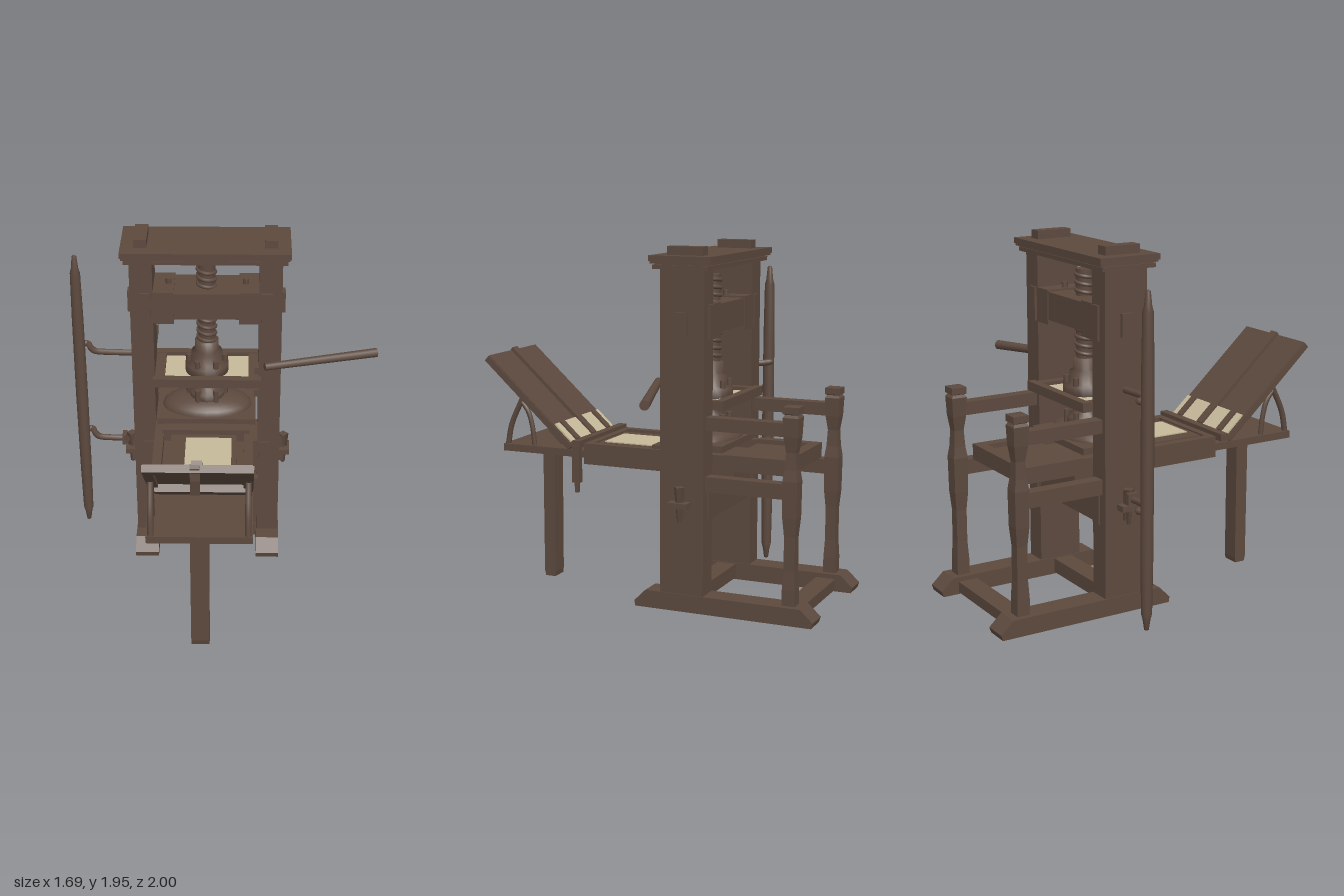
import * as THREE from 'three';

const wood = new THREE.MeshStandardMaterial({ color: 0x5c493e });
wood.name = 'dark wood';
const paper = new THREE.MeshStandardMaterial({ color: 0xc6b999 });
paper.name = 'cream paper';

const CX = -0.097, CZ = -0.265; // screw axis

export function createModel() {
  const root = new THREE.Group();
  root.name = 'handPress';

  const add = (name, geo, mat = wood, parent = root) => {
    const m = new THREE.Mesh(geo, mat);
    m.name = name;
    parent.add(m);
    return m;
  };
  // box from its limits on each axis
  const box = (name, x0, x1, y0, y1, z0, z1, mat = wood, parent = root) => {
    const m = add(name, new THREE.BoxGeometry(x1 - x0, y1 - y0, z1 - z0), mat, parent);
    m.position.set((x0 + x1) / 2, (y0 + y1) / 2, (z0 + z1) / 2);
    return m;
  };
  // turned piece around a vertical axis
  const lathe = (name, pts, x, z, seg = 20) => {
    const m = add(name, new THREE.LatheGeometry(pts.map(p => new THREE.Vector2(p[0], p[1])), seg));
    m.position.set(x, 0, z);
    return m;
  };
  const tube = (name, pts, r, seg = 24, parent = root) => {
    const curve = new THREE.CatmullRomCurve3(pts.map(p => new THREE.Vector3(...p)));
    return add(name, new THREE.TubeGeometry(curve, seg, r, 8), wood, parent);
  };
  // round bar between two points
  const bar = (name, a, b, r0, r1) => {
    const A = new THREE.Vector3(...a), B = new THREE.Vector3(...b);
    const m = add(name, new THREE.CylinderGeometry(r1, r0, A.distanceTo(B), 12));
    m.position.copy(A).add(B).multiplyScalar(0.5);
    m.quaternion.setFromUnitVectors(new THREE.Vector3(0, 1, 0), B.sub(A).normalize());
    return m;
  };
  // outline in (z, y) extruded across x
  const slab = (name, pts, x0, x1) => {
    const s = new THREE.Shape(pts.map(p => new THREE.Vector2(-p[0], p[1])));
    const g = new THREE.ExtrudeGeometry(s, { depth: x1 - x0, bevelEnabled: false });
    g.rotateY(Math.PI / 2);
    g.translate(x0, 0, 0);
    return add(name, g);
  };

  // Two side frames: foot, main post, rear baluster and rails
  for (const side of [-1, 1]) {
    const x = side < 0 ? -0.442 : 0.248;
    slab('foot', [[0, 0.02], [0.005, 0.05], [-0.06, 0.115], [-0.93, 0.115], [-1, 0.05], [-0.99, 0.02]], x - 0.066, x + 0.066);
    box('mainPost', x - 0.061, x + 0.061, 0.1, 1.85, -0.39, -0.145);
    box('postTenon', x - 0.035, x + 0.035, 1.88, 1.945, -0.37, -0.17);
    box('upperRail', x - 0.035, x + 0.035, 1.0, 1.07, -0.82, -0.38);
    box('lowerRail', x - 0.035, x + 0.035, 0.675, 0.755, -0.82, -0.38);
    // square-sectioned rear post with a waisted profile
    const post = lathe('rearPost', [[0, 0.1], [0.05, 0.1], [0.05, 0.2], [0.042, 0.3], [0.042, 0.48],
      [0.054, 0.58], [0.057, 0.77], [0.045, 0.83], [0.038, 0.92], [0.054, 1.0], [0.06, 1.1],
      [0.047, 1.115], [0.06, 1.12], [0.06, 1.155], [0, 1.16]], x, -0.855, 4);
    const flat = post.geometry.toNonIndexed();
    flat.rotateY(Math.PI / 4);
    flat.computeVertexNormals();
    post.geometry = flat;
    // ends of the beams through the post, with wedge
    const o = x + side * 0.061;
    const out = (name, d, y0, y1, z0, z1) =>
      box(name, Math.min(o, o + side * d), Math.max(o, o + side * d), y0, y1, z0, z1);
    out('headTenon', 0.02, 1.49, 1.61, -0.3, -0.235);
    out('winterTenon', 0.025, 0.53, 0.69, -0.285, -0.245);
    out('wedgePin', 0.06, 0.59, 0.62, -0.32, -0.21);
    const wedge = add('wedge', new THREE.CylinderGeometry(0.03, 0.012, 0.19, 4));
    wedge.position.set(o + side * 0.025, 0.605, CZ);
    // cheek blocks before and behind the post
    for (const z of [-0.14, -0.395]) {
      box('headCheek', x - 0.03 - side * 0.02, x + 0.03 - side * 0.02, 1.47, 1.65, z - 0.008, z + 0.008);
      box('winterCheek', x - 0.03 - side * 0.02, x + 0.03 - side * 0.02, 0.51, 0.72, z - 0.006, z + 0.006);
    }
  }

  // Base stretchers
  box('frontStretcher', -0.39, 0.2, 0.03, 0.11, -0.31, -0.2);
  box('rearStretcher', -0.39, 0.2, 0.03, 0.09, -0.9, -0.79);

  // Moulded cap
  box('capLower', -0.53, 0.335, 1.83, 1.852, -0.42, -0.11);
  box('capMiddle', -0.54, 0.345, 1.858, 1.875, -0.435, -0.1);
  box('capCore', -0.52, 0.325, 1.85, 1.86, -0.41, -0.12);
  box('capTop', -0.548, 0.352, 1.87, 1.9, -0.44, -0.095);

  // Cross beams
  box('headBeam', -0.385, 0.19, 1.49, 1.64, -0.385, -0.15);
  for (const [a, b] of [[-0.385, -0.27], [0.08, 0.19]]) box('headBeamEnd', a, b, 1.465, 1.65, -0.39, -0.145);
  for (const x of [-0.3, 0.115]) bar('headBolt', [x, 1.45, CZ], [x, 1.68, CZ], 0.016, 0.016);
  box('winterBeam', -0.385, 0.19, 0.51, 0.72, -0.385, -0.15);

  // Screw with helical thread
  bar('screwCore', [CX, 1.25, CZ], [CX, 1.78, CZ], 0.048, 0.048);
  const helix = [];
  for (let i = 0; i <= 120; i++) {
    const a = i / 10 * Math.PI * 2;
    helix.push([CX + Math.cos(a) * 0.047, 1.27 + i / 120 * 0.49, CZ + Math.sin(a) * 0.047]);
  }
  tube('screwThread', helix, 0.011, 300);

  // Collar, spindle and platen
  lathe('spindle', [[0, 0.94], [0.1, 0.94], [0.1, 1.0], [0.06, 1.02], [0.05, 1.08], [0.12, 1.1], [0.12, 1.17],
    [0.085, 1.18], [0.085, 1.24], [0.065, 1.25], [0.065, 1.31], [0, 1.31]], CX, CZ);
  for (let i = 0; i < 6; i++) {
    const a = i / 6 * Math.PI * 2, x = CX + Math.cos(a) * 0.1, z = CZ + Math.sin(a) * 0.1;
    bar('collarStud', [x, 1.1, z], [x, 1.215, z], 0.015, 0.015);
    bar('platenStud', [x, 0.94, z], [x, 1.03, z], 0.015, 0.015);
  }
  box('platen', -0.37, 0.175, 0.865, 0.9, -0.44, -0.09);
  const dome = add('platenDome', new THREE.SphereGeometry(1, 24, 8, 0, Math.PI * 2, 0, Math.PI / 2));
  dome.scale.set(0.25, 0.085, 0.165);
  dome.position.set(CX, 0.895, CZ);

  // Guide frame around the spindle, with paper inset
  for (const z of [-0.43, -0.12]) box('guideFrameLong', -0.39, 0.2, 1.095, 1.145, z - 0.022, z + 0.022);
  for (const x of [-0.355, 0.16]) box('guideFrameShort', x - 0.028, x + 0.028, 1.095, 1.14, -0.43, -0.12);
  box('guideBoard', -0.35, 0.15, 1.1, 1.115, -0.42, -0.13);
  box('guidePaper', -0.33, 0.135, 1.115, 1.121, -0.41, -0.14, paper);
  for (const y of [1.05, 1.19]) box('guidePeg', 0.165, 0.19, y - 0.02, y + 0.02, -0.17, -0.12);

  // Pull bar
  bar('pullBar', [0.22, 1.232, -0.095], [0.84, 1.212, -0.3], 0.021, 0.026);

  // Long side pole on two bent brackets
  lathe('sidePole', [[0, 0.04], [0.012, 0.045], [0.02, 0.1], [0.028, 0.13], [0.032, 0.4], [0.034, 0.9], [0.032, 1.4],
    [0.028, 1.67], [0.02, 1.7], [0.013, 1.77], [0, 1.78]], -0.81, -0.335, 12);
  for (const [y, end] of [[1.22, -0.49], [0.66, -0.57]]) {
    tube('poleBracket', [[-0.81, y + 0.005, -0.335], [-0.765, y + 0.005, -0.36], [-0.745, y, -0.32], [-0.715, y, -0.28],
      [-0.65, y, -0.27], [end, y - 0.003, -0.27]], 0.018);
    box('bracketPlate', end - 0.012, end + 0.012, y - 0.03, y + 0.03, -0.3, -0.24);
  }
  box('lowerBracketArm', -0.57, -0.5, 0.645, 0.675, -0.285, -0.255);

  // Bed: long rails, plank and coffin with the sheet
  for (const x of [-0.355, 0.135]) {
    box('bedRail', x - 0.025, x + 0.025, 0.735, 0.85, -0.5, 0.38);
    box('rearTrayRail', x - 0.03, x + 0.03, 0.77, 0.855, -0.8, -0.45);
  }
  box('bedPlank', -0.37, 0.15, 0.74, 0.8, -0.5, 0.38);
  box('coffin', -0.29, 0.07, 0.79, 0.842, -0.08, 0.38);
  box('sheet', -0.207, 0.043, 0.842, 0.848, 0.02, 0.31, paper);
  box('coffinBar', -0.34, 0.14, 0.8, 0.87, -0.1, -0.02);
  box('rearTrayFloor', -0.36, 0.14, 0.77, 0.83, -0.79, -0.45);
  box('rearTrayEnd', -0.385, 0.165, 0.77, 0.855, -0.805, -0.745);
  box('bedNose', -0.38, 0.16, 0.74, 0.85, 0.34, 0.38);
  box('hingeBar', -0.41, 0.185, 0.825, 0.865, 0.395, 0.44);
  box('hingeBarDrop', 0.15, 0.185, 0.63, 0.86, 0.397, 0.443);
  box('dropTip', 0.158, 0.178, 0.575, 0.63, 0.408, 0.43);

  // Front shelf, its leg and the struts
  box('frontShelf', -0.38, 0.16, 0.77, 0.81, 0.38, 0.885);
  slab('frontLeg', [[0.75, 0], [0.757, 0.03], [0.757, 0.775], [0.683, 0.775], [0.686, 0.03], [0.69, 0]], -0.163, -0.065);
  for (const x of [-0.355, 0.135]) {
    tube('outerStrut', [[x, 0.8, 0.87], [x, 0.92, 0.845], [x, 1.07, 0.775]], 0.016);
    tube('innerStrut', [[x, 1.06, 0.785], [x, 1.0, 0.74], [x, 0.92, 0.715], [x, 0.8, 0.7]], 0.014);
  }

  // Tilted lid, hinged at the bar; local z runs up the slope
  const lid = new THREE.Group();
  lid.name = 'tiltedLid';
  lid.position.set(-0.11, 0.825, 0.46);
  lid.rotation.x = -Math.atan2(0.47, 0.52);
  root.add(lid);
  box('lidBoard', -0.265, 0.265, -0.004, 0.012, 0, 0.7, wood, lid);
  for (const x of [-0.245, 0.245]) box('lidSide', x - 0.025, x + 0.025, -0.028, 0.008, 0, 0.7, wood, lid);
  for (const z of [0.05, 0.66]) box('lidEnd', -0.265, 0.265, -0.028, 0.008, z - 0.04, z + 0.04, wood, lid);
  box('lidPaper', -0.262, 0.262, 0.013, 0.022, 0.02, 0.155, paper, lid);
  box('lidBatten', -0.033, 0.02, 0.01, 0.032, 0.02, 0.705, wood, lid);
  for (const x of [-0.19, 0.19]) box('lidCatch', x - 0.022, x + 0.022, 0.01, 0.032, 0.02, 0.155, wood, lid);
  box('lidFoot', -0.24, 0.24, -0.05, -0.01, 0.06, 0.16, wood, lid);

  // Strap hanging over the upper edge of the lid
  slab('hangingStrap', [[0.97, 1.305], [0.99, 1.29], [0.993, 1.22], [0.978, 1.13], [0.974, 1.15], [0.981, 1.22], [0.97, 1.28]], -0.148, -0.1);

  return root;
}
